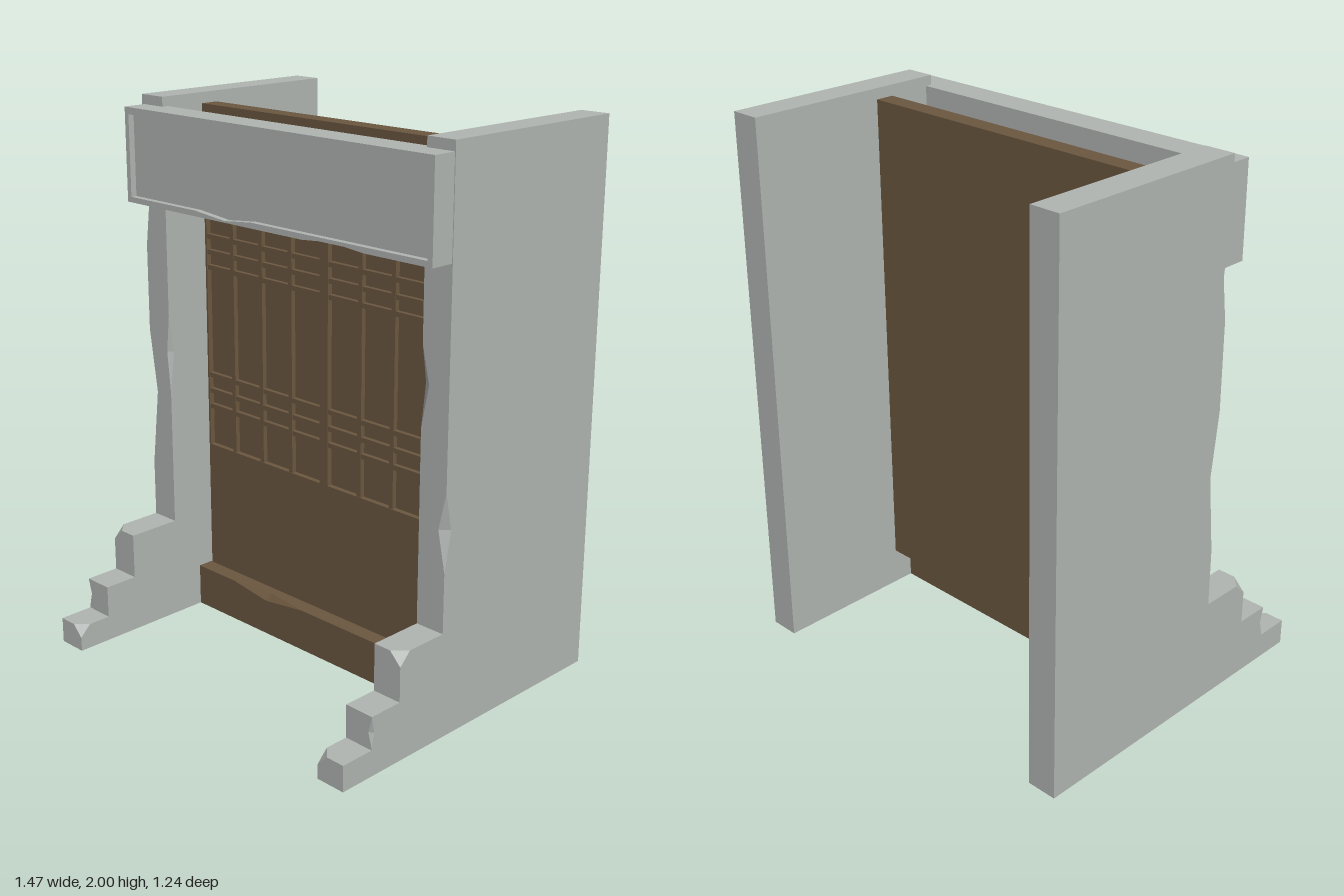
import * as THREE from 'three';
import { ConvexGeometry } from 'three/addons/geometries/ConvexGeometry.js';

const stone = new THREE.MeshStandardMaterial({ color: 0xb0b5b2, flatShading: true });
stone.name = 'grey stone';
const wood = new THREE.MeshStandardMaterial({ color: 0x6b573f, flatShading: true });
wood.name = 'brown wood';

function add(parent, name, geometry, material) {
  const mesh = new THREE.Mesh(geometry, material);
  mesh.name = name;
  parent.add(mesh);
  return mesh;
}

// Box given by its limits
function box(x0, x1, y0, y1, z0, z1) {
  return new THREE.BoxGeometry(x1 - x0, y1 - y0, z1 - z0)
    .translate((x0 + x1) / 2, (y0 + y1) / 2, (z0 + z1) / 2);
}

// Upright bar with wedge chips [side, yStart, yDeepest, yEnd, xInset, zInset] in its front edges
function chippedBar(x0, x1, y0, y1, z0, z1, chips) {
  const levels = [...new Set([y0, y1, ...chips.flatMap(c => c.slice(1, 4))])].sort((a, b) => a - b);
  const inset = (y, side) => {
    for (const [s, a, m, b, dx, dz] of chips) {
      if (s !== side || y <= a || y >= b) continue;
      const k = y < m ? (y - a) / (m - a) : (b - y) / (b - m);
      return [dx * k, dz * k];
    }
    return [0, 0];
  };
  const rings = levels.map(y => {
    const r = inset(y, -1), l = inset(y, 1);
    return [[x0, z0], [x0, z1 - r[1]], [x0 + r[0], z1], [x1 - l[0], z1], [x1, z1 - l[1]], [x1, z0]]
      .map(([x, z]) => [x, y, z]);
  });
  const pos = [];
  const tri = (...p) => p.forEach(v => pos.push(...v));
  for (let i = 0; i + 1 < rings.length; i++) {
    const lo = rings[i], hi = rings[i + 1];
    for (let j = 0; j < 6; j++) {
      const k = (j + 1) % 6;
      tri(lo[j], lo[k], hi[k]);
      tri(lo[j], hi[k], hi[j]);
    }
  }
  const bottom = rings[0], top = rings[rings.length - 1];
  for (let j = 1; j < 5; j++) {
    tri(top[0], top[j], top[j + 1]);
    tri(bottom[0], bottom[j + 1], bottom[j]);
  }
  const g = new THREE.BufferGeometry();
  g.setAttribute('position', new THREE.Float32BufferAttribute(pos, 3));
  g.computeVertexNormals();
  return g;
}

// Box whose top front corner at xc is broken off
function brokenStep(x0, x1, y1, z0, z1, xc, cut) {
  const pts = [];
  for (const x of [x0, x1]) for (const y of [0, y1]) for (const z of [z0, z1]) {
    if (x === xc && y === y1 && z === z1) {
      const inward = xc === x0 ? cut : -cut;
      pts.push(new THREE.Vector3(x + inward, y, z), new THREE.Vector3(x, y - cut, z), new THREE.Vector3(x, y, z - cut));
    } else pts.push(new THREE.Vector3(x, y, z));
  }
  return new ConvexGeometry(pts);
}

// Side wall with three steps at its foot
function sideWall(side, chips) {
  const wall = new THREE.Group();
  wall.name = side > 0 ? 'leftWall' : 'rightWall';
  const inner = side * 0.62, outer = side * 0.733;
  const x0 = Math.min(inner, outer), x1 = Math.max(inner, outer);
  add(wall, 'wallSlab', chippedBar(x0, x1, 0, 2, -0.62, 0.155, chips), stone);
  add(wall, 'upperStep', brokenStep(x0, x1, 0.385, 0.155, 0.36, outer, 0.045), stone);
  add(wall, 'middleStep', chippedBar(x0, x1, 0, 0.215, 0.36, 0.49,
    [[side, 0.1, 0.155, 0.21, 0.015, 0.012]]), stone);
  add(wall, 'lowerStep', brokenStep(x0, x1, 0.095, 0.49, 0.62, inner, 0.042), stone);
  return wall;
}

// Lintel: slab with a worn raised border on the front
function lintel() {
  const group = new THREE.Group();
  group.name = 'lintel';
  const points = list => list.map(([x, y]) => new THREE.Vector2(x, y));
  add(group, 'lintelSlab', box(-0.72, 0.73, 1.625, 1.965, 0.13, 0.222), stone);
  const border = new THREE.Shape(points([
    [-0.72, 1.625], [0.17, 1.625], [0.3, 1.637], [0.45, 1.625],
    [0.73, 1.625], [0.73, 1.965], [-0.72, 1.965]]));
  border.holes.push(new THREE.Path(points([
    [-0.7, 1.645], [-0.7, 1.94], [-0.6, 1.94], [-0.49, 1.95], [-0.38, 1.94], [0.71, 1.94],
    [0.71, 1.645], [-0.07, 1.645], [-0.2, 1.631], [-0.35, 1.645]])));
  add(group, 'lintelBorder', new THREE.ExtrudeGeometry(border, { depth: 0.023, bevelEnabled: false })
    .translate(0, 0, 0.222), stone);
  return group;
}

// Door panel with two recessed lattice windows
function door() {
  const group = new THREE.Group();
  group.name = 'door';
  const front = -0.03, recess = -0.05, barFront = -0.032;
  const yLow = 0.655, yHigh = 1.63;
  const rect = (path, x0, x1, y0, y1) =>
    path.moveTo(x0, y0).lineTo(x1, y0).lineTo(x1, y1).lineTo(x0, y1).closePath();

  add(group, 'doorBack', box(-0.62, 0.62, 0.14, 1.96, -0.1, recess), wood);
  const face = rect(new THREE.Shape(), -0.62, 0.62, 0.14, 1.96);
  for (const s of [-1, 1]) face.holes.push(rect(new THREE.Path(), s * 0.02, s * 0.612, yLow, yHigh));
  add(group, 'doorFace', new THREE.ExtrudeGeometry(face, { depth: front - recess, bevelEnabled: false })
    .translate(0, 0, recess), wood);

  for (const s of [-1, 1]) {
    const x0 = Math.min(s * 0.02, s * 0.612), x1 = Math.max(s * 0.02, s * 0.612);
    for (const x of [0.172, 0.325, 0.477])
      add(group, 'latticeUpright', box(s * x - 0.009, s * x + 0.009, yLow, yHigh, recess, barFront), wood);
    for (const y of [0.81, 0.872, 0.935, 1.355, 1.413, 1.472])
      add(group, 'latticeRail', box(x0, x1, y - 0.009, y + 0.009, recess, barFront - 0.001), wood);
  }

  // Threshold beam, turned to lie along x
  add(group, 'threshold', chippedBar(0, 0.16, -0.62, 0.62, -0.025, 0.035,
    [[1, 0.05, 0.24, 0.42, 0.025, 0.025]]).rotateZ(Math.PI / 2), wood);
  return group;
}

export function createModel() {
  const model = new THREE.Group();
  model.name = 'stoneDoorway';
  model.add(
    sideWall(1, [[-1, 1.07, 1.22, 1.35, 0.03, 0.02], [1, 0.6, 0.745, 0.88, 0.03, 0.028]]),
    sideWall(-1, [[-1, 0.6, 0.89, 1.13, 0.035, 0.03], [-1, 1.45, 1.6, 1.8, 0.02, 0.02],
      [1, 0.9, 1.06, 1.2, 0.015, 0.02]]),
    lintel(), door());
  return model;
}
